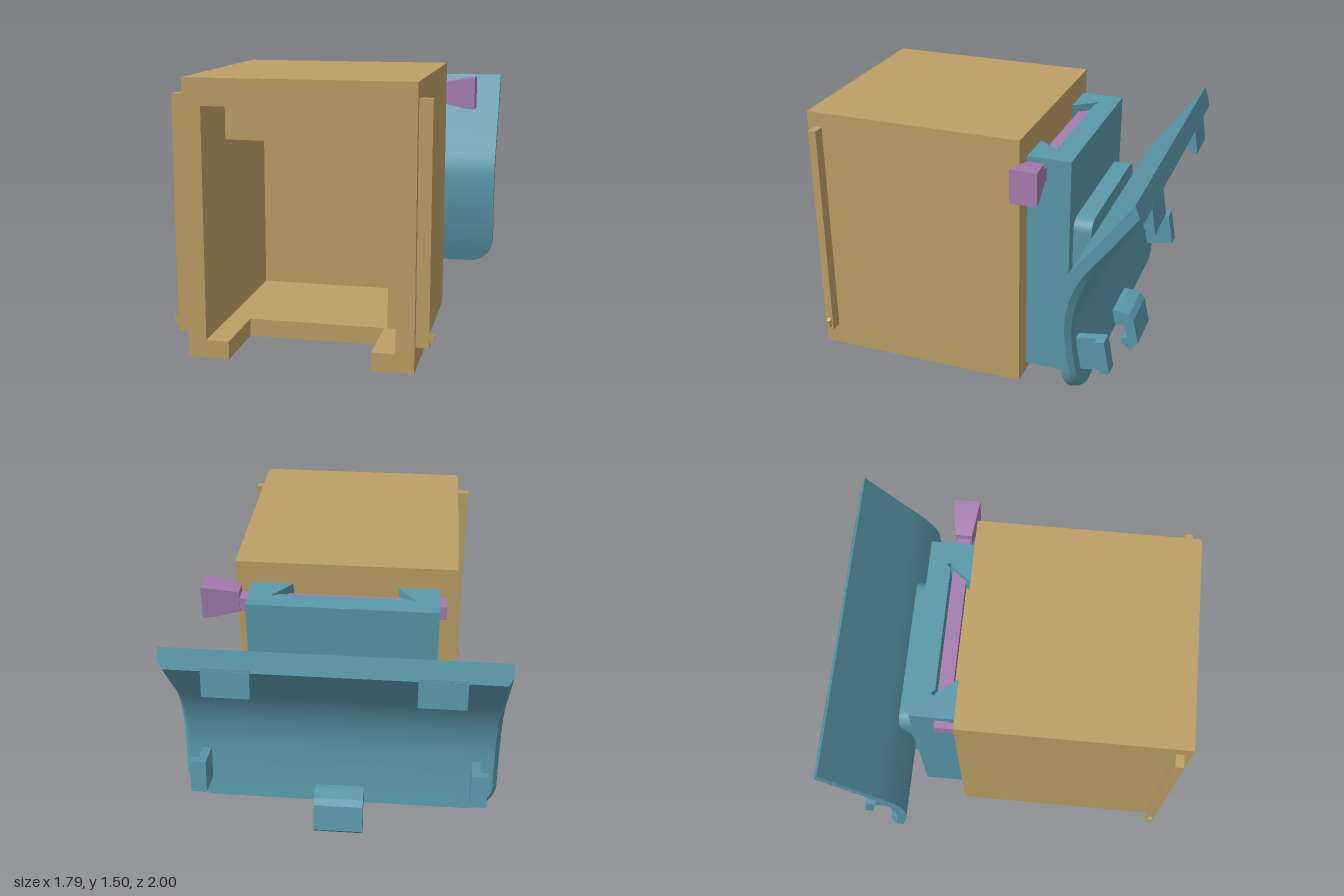
import * as THREE from 'three';
import { toCreasedNormals } from 'three/addons/utils/BufferGeometryUtils.js';

export function createModel() {
  const root = new THREE.Group();
  const mat = (name, color) => {
    const m = new THREE.MeshStandardMaterial({ color });
    m.name = name;
    return m;
  };
  const tan = mat('tan', 0xbd9f65);
  const teal = mat('teal', 0x5a98aa);
  const purple = mat('purple', 0xa57db0);

  const add = (name, geo, material, parent = root) => {
    const m = new THREE.Mesh(geo, material);
    m.name = name;
    parent.add(m);
    return m;
  };
  const poly = (pts) => new THREE.Shape(pts.map((p) => new THREE.Vector2(...p)));
  const extrude = (shape, depth) =>
    new THREE.ExtrudeGeometry(shape, { depth, bevelEnabled: false, curveSegments: 10 });
  // Box from its limits
  const box = (x0, x1, y0, y1, z0, z1) =>
    new THREE.BoxGeometry(x1 - x0, y1 - y0, z1 - z0)
      .translate((x0 + x1) / 2, (y0 + y1) / 2, (z0 + z1) / 2);
  // Extrusions of an (x, y), (z, y) or (x, z) outline along the remaining axis
  const alongZ = (shape, z0, z1) => extrude(shape, z1 - z0).translate(0, 0, z0);
  const alongX = (pts, x0, x1) => extrude(poly(pts), x1 - x0).rotateY(-Math.PI / 2).translate(x1, 0, 0);
  const alongY = (pts, y0, y1) => extrude(poly(pts), y1 - y0).rotateX(Math.PI / 2).translate(0, y1, 0);

  // Solid skinned over equal-sized cross-section loops (counterclockwise about the path start)
  const loft = (loops) => {
    const n = loops[0].length;
    const idx = [];
    for (let i = 0; i < loops.length - 1; i++) {
      for (let j = 0; j < n; j++) {
        const k = (j + 1) % n;
        const a = i * n + j, a2 = i * n + k, b = a + n, b2 = a2 + n;
        idx.push(a, b, a2, b, b2, a2);
      }
    }
    const last = (loops.length - 1) * n;
    for (let j = 1; j < n - 1; j++) {
      idx.push(0, j, j + 1, last, last + j + 1, last + j);
    }
    const g = new THREE.BufferGeometry();
    g.setAttribute('position', new THREE.Float32BufferAttribute(loops.flat(2), 3));
    g.setIndex(idx);
    return toCreasedNormals(g, 0.5);
  };

  // Hollow housing: open front frame, narrower inner chamber, back wall
  const housing = new THREE.Group();
  housing.name = 'housing';
  root.add(housing);
  add('frontFrame', alongZ(poly([
    [-0.61, 0], [-0.385, 0], [-0.385, 0.1], [-0.51, 0.1], [-0.51, 1.355], [0.51, 1.355],
    [0.51, 0.1], [0.385, 0.1], [0.385, 0], [0.61, 0], [0.61, 1.5], [-0.61, 1.5],
  ]), 0.61, 1), tan, housing);
  const chamber = poly([[-0.61, 0], [0.61, 0], [0.61, 1.5], [-0.61, 1.5]]);
  chamber.holes.push(poly([[-0.51, 0.1], [-0.51, 1.125], [0.405, 1.125], [0.405, 0.1]]));
  add('chamber', alongZ(chamber, -0.14, 0.61), tan, housing);
  add('backWall', box(-0.61, 0.61, 0, 1.5, -0.25, -0.14), tan, housing);
  add('dovetail', alongY([[-0.28, -0.25], [0.28, -0.25], [0.38, -0.378], [-0.38, -0.378]], 0.26, 1.25), tan, housing);

  // Side rails with a small catch near the bottom
  for (const s of [-1, 1]) {
    const side = s > 0 ? 'left' : 'right';
    add(side + 'Rail', box(s * 0.645 - 0.035, s * 0.645 + 0.035, 0.13, 1.415, 0.915, 0.96), tan, housing);
    const catchPts = [[s * 0.68, 0.15], [s * 0.7, 0.16], [s * 0.705, 0.2], [s * 0.695, 0.195], [s * 0.68, 0.21]];
    add(side + 'RailCatch', alongZ(poly(catchPts), 0.925, 0.95), tan, housing);
  }

  // Mount block with a dovetail slot, closed at the bottom
  const mount = new THREE.Group();
  mount.name = 'mount';
  root.add(mount);
  const slot = [[0.29, -0.26], [0.375, -0.365], [0.385, -0.4], [0.395, -0.385], [0.36, -0.38]];
  const slotEdge = [[0.29, -0.26], [0.37, -0.368], [0.395, -0.385], [0.385, -0.402], [0.36, -0.38]];
  add('slottedBlock', alongY([
    [0.52, -0.26], ...slotEdge,
    ...slotEdge.slice().reverse().map(([x, z]) => [-x, z]),
    [-0.52, -0.26], [-0.52, -0.505], [0.52, -0.505],
  ], 0.26, 1.38), teal, mount);
  add('blockBase', box(-0.52, 0.52, 0.07, 0.26, -0.505, -0.26), teal, mount);

  // Rounded pad joining the block to the curved plate
  const pad = new THREE.Shape();
  const r = 0.07;
  pad.absarc(0.45 - r, 1.01 - r, r, 0, Math.PI / 2);
  pad.absarc(-0.45 + r, 1.01 - r, r, Math.PI / 2, Math.PI);
  pad.absarc(-0.45 + r, 0.4 + r, r, Math.PI, Math.PI * 1.5);
  pad.absarc(0.45 - r, 0.4 + r, r, Math.PI * 1.5, Math.PI * 2);
  add('pad', toCreasedNormals(alongZ(pad, -0.608, -0.505), 0.5), teal, mount);

  // Curved plate: front and back profiles (z, y), chamfered rim, rounded lower corners
  const profile = (pts) => new THREE.CatmullRomCurve3(pts.map(([z, y]) => new THREE.Vector3(0, y, z)));
  const front = profile([[-0.94, 1.375], [-0.77, 1.14], [-0.615, 0.925], [-0.557, 0.8],
    [-0.543, 0.64], [-0.562, 0.45], [-0.598, 0.29], [-0.634, 0.177]]);
  const back = profile([[-0.978, 1.265], [-0.85, 1.09], [-0.725, 0.92], [-0.66, 0.77],
    [-0.632, 0.61], [-0.642, 0.45], [-0.668, 0.3], [-0.69, 0.19]]);
  const loops = [];
  const steps = 48, corner = 0.155;
  for (let i = 0; i <= steps; i++) {
    const t = 1 - Math.pow(1 - i / steps, 1.8);
    const f = front.getPoint(t), b = back.getPoint(t);
    const m = f.clone().lerp(b, 0.65);
    const d = Math.max(0, corner - (f.y - 0.177));
    const w = 0.893 - corner + Math.sqrt(Math.max(0, corner * corner - d * d));
    const v = w - 0.025;
    loops.push([[-w, f.y, f.z], [w, f.y, f.z], [w, m.y, m.z], [v, b.y, b.z], [-v, b.y, b.z], [-w, m.y, m.z]]);
  }
  add('curvedPlate', loft(loops), teal, mount);

  // Plate clips: upper hooks and side clips in pairs, one lower latch
  for (const s of [-1, 1]) {
    const side = s > 0 ? 'left' : 'right';
    const span = (pts, a, b) => alongX(pts, Math.min(s * a, s * b), Math.max(s * a, s * b));
    add(side + 'UpperHook', span([[-0.92, 1.2], [-0.94, 1.15], [-0.955, 1.12], [-1, 1.12], [-0.975, 1.28]], 0.425, 0.675), teal, mount);
    add(side + 'SideClip', span([[-0.62, 0.49], [-0.8, 0.52], [-0.835, 0.33], [-0.66, 0.3]], 0.74, 0.79), teal, mount);
    add(side + 'SideClipBarb', span([[-0.75, 0.512], [-0.8, 0.52], [-0.835, 0.33], [-0.785, 0.32]], 0.79, 0.83), teal, mount);
  }
  add('lowerLatch', alongX([
    [-0.66, 0.29], [-0.7, 0.29], [-0.77, 0.275], [-0.8, 0.245], [-0.835, 0.09], [-0.79, 0.04],
    [-0.735, 0.08], [-0.735, 0.11], [-0.765, 0.12], [-0.745, 0.205], [-0.66, 0.19],
  ], -0.14, 0.14), teal, mount);

  // Locking pin through the block, with a flared knob
  const pin = new THREE.Group();
  pin.name = 'lockingPin';
  root.add(pin);
  add('pinBar', box(-0.56, 0.58, 1.255, 1.335, -0.37, -0.29), purple, pin);
  add('pinTip', box(-0.56, -0.525, 1.255, 1.335, -0.3, -0.265), purple, pin);
  const ring = ([x, h, d]) => [[x, 1.315 - h, -0.33 - d], [x, 1.315 + h, -0.33 - d],
    [x, 1.315 + h, -0.33 + d], [x, 1.315 - h, -0.33 + d]];
  add('knob', loft([[0.78, 0.095, 0.075], [0.7, 0.087, 0.065], [0.575, 0.06, 0.046]].map(ring)), purple, pin);

  return root;
}
